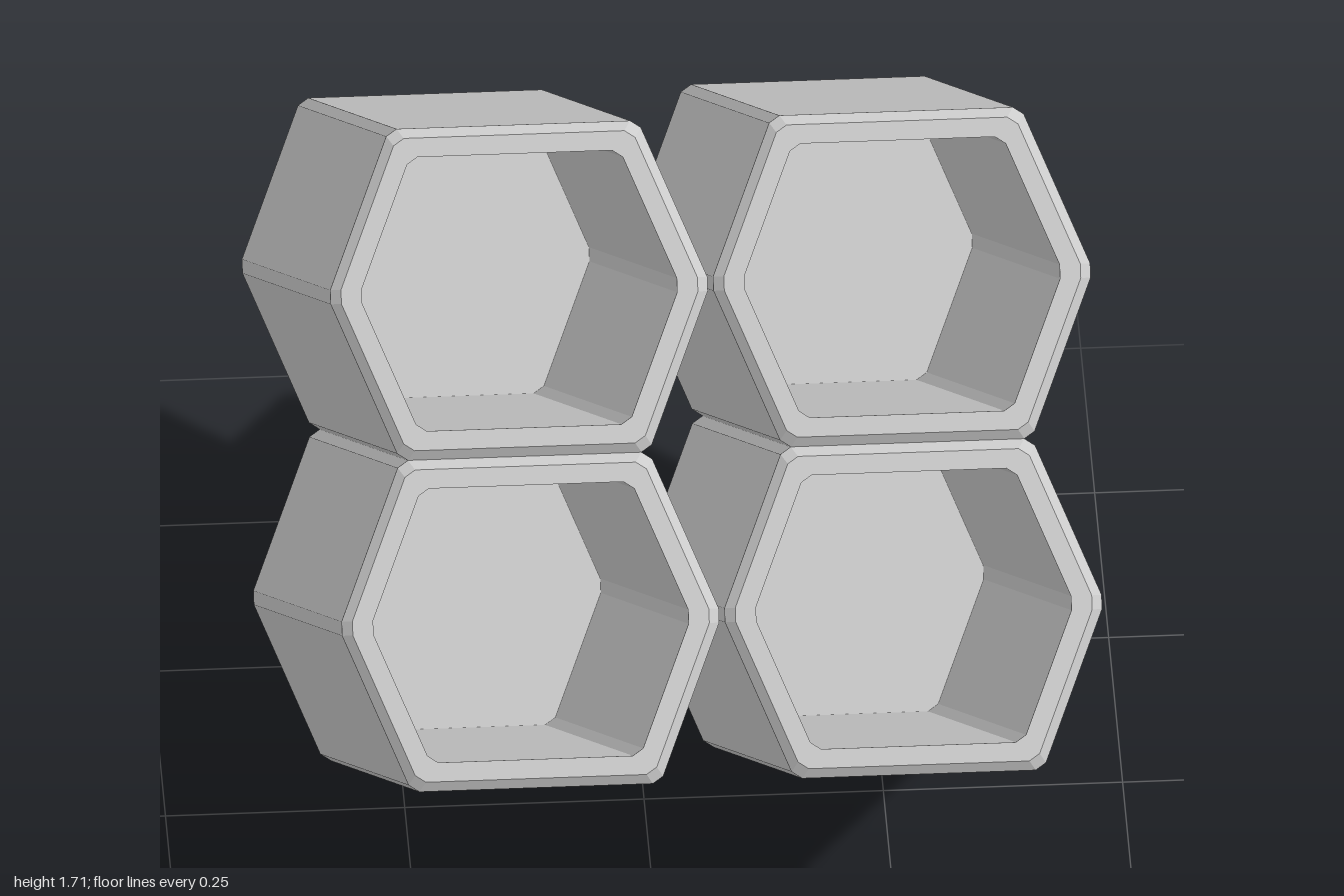
import * as THREE from 'three';

const LENGTH = 1.976, WALL = 0.03, BEVEL = 0.01, TILT = 36.2 * Math.PI / 180;
const HALF_H = 0.173, HALF_W = 0.2;

// Hexagon inset by t, each corner cut by a small chamfer, counter-clockwise
function hexSection(t, cut = 0.008) {
  const w = HALF_W - 1.08 * t, h = HALF_H - t, f = 0.13 - 0.677 * t;
  const corners = [[w, 0], [f, h], [-f, h], [-w, 0], [-f, -h], [f, -h]]
    .map(([x, y]) => new THREE.Vector2(x, y));
  return corners.flatMap((p, i) => {
    const toward = q => p.clone().add(q.clone().sub(p).setLength(cut));
    return [toward(corners[(i + 5) % 6]), toward(corners[(i + 1) % 6])];
  });
}

// Skin a series of rings [inset, z, scale]; scale 0 closes to a centre point
function skin(rings) {
  const loops = rings.map(([t, z, s = 1]) =>
    hexSection(t).map(p => [p.x * s, p.y * s, z]));
  const pos = [];
  for (let k = 0; k < loops.length - 1; k++) {
    const a = loops[k], b = loops[k + 1], n = a.length;
    for (let i = 0; i < n; i++) {
      const j = (i + 1) % n;
      if (rings[k][2] !== 0) pos.push(...a[i], ...a[j], ...b[j]);
      if (rings[k + 1][2] !== 0) pos.push(...a[i], ...b[j], ...b[i]);
    }
  }
  const geo = new THREE.BufferGeometry();
  geo.setAttribute('position', new THREE.Float32BufferAttribute(pos, 3));
  geo.computeVertexNormals();
  return geo;
}

export function createModel() {
  const model = new THREE.Group();
  model.name = 'hexTubeCluster';
  const material = new THREE.MeshStandardMaterial({ color: 0xcccccc, flatShading: true });
  const end = LENGTH / 2;

  // Closed back, bevelled shell, open lip, inner walls and inner floor
  const tubeGeometry = skin([
    [BEVEL, -end, 0],
    [BEVEL, -end],
    [0, -end + BEVEL],
    [0, end - BEVEL],
    [BEVEL, end],
    [WALL, end],
    [WALL, -end + WALL],
    [WALL, -end + WALL, 0],
  ]);

  // Two by two stack of tubes, mouths tilted upward to the front
  const stack = new THREE.Group();
  stack.name = 'tubeStack';
  for (const [row, sy] of [['lower', -1], ['upper', 1]]) {
    for (const [side, sx] of [['Right', -1], ['Left', 1]]) {
      const tube = new THREE.Mesh(tubeGeometry, material);
      tube.name = `${row}${side}Tube`;
      tube.position.set(sx * HALF_W, sy * HALF_H, 0);
      stack.add(tube);
    }
  }
  stack.rotation.x = -TILT;
  stack.position.y = (LENGTH * Math.sin(TILT) + 4 * HALF_H * Math.cos(TILT)) / 2 - 0.005;
  model.add(stack);
  return model;
}
